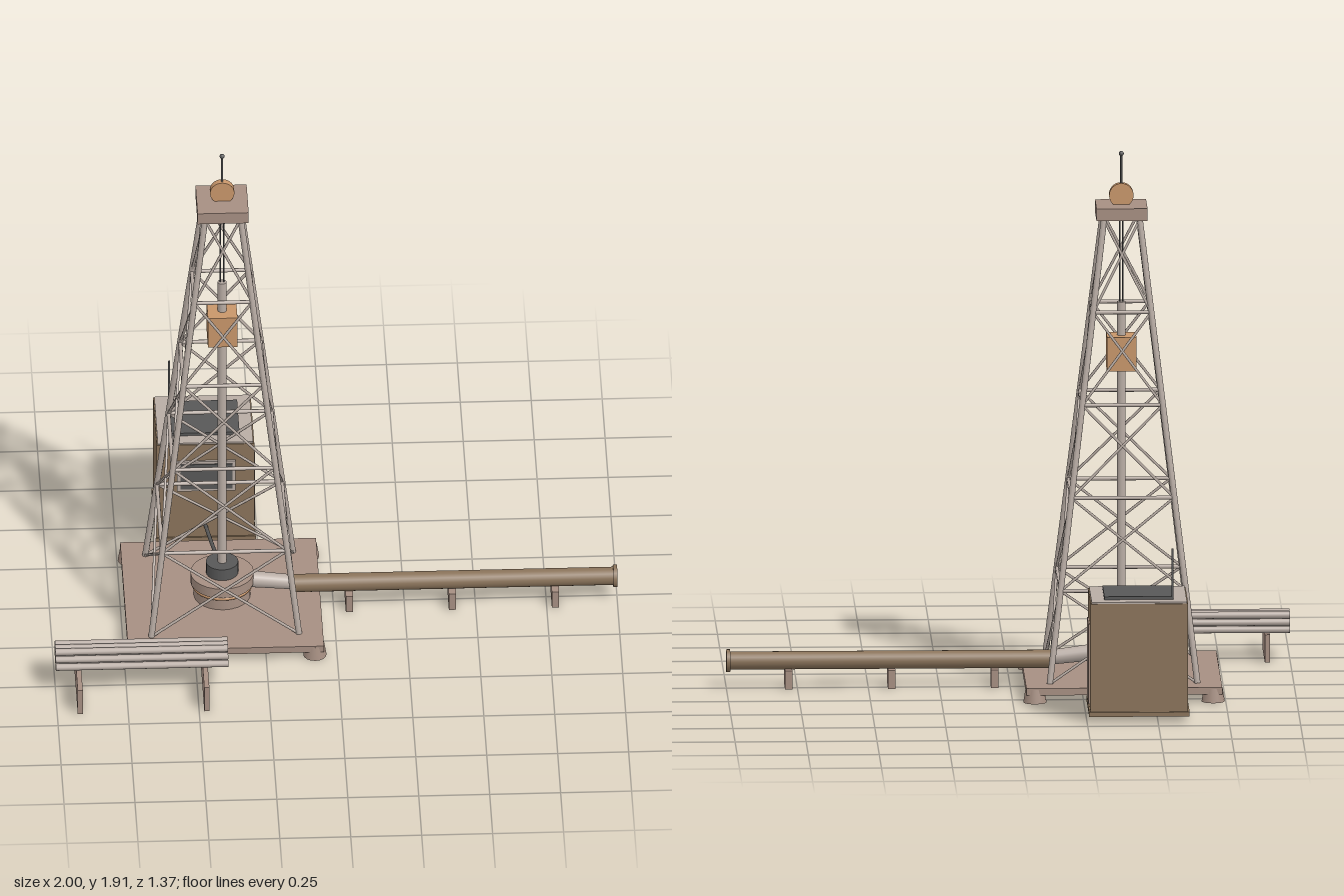
import * as THREE from 'three';

const mat = (name, color) => {
  const m = new THREE.MeshStandardMaterial({ color });
  m.name = name;
  return m;
};

export function createModel() {
  const root = new THREE.Group();
  root.name = 'drillingRig';
  const steel = mat('pale steel', 0xb8aca4);
  const deck = mat('dusty rose brown', 0xa68f82);
  const olive = mat('olive brown', 0x8a735a);
  const dark = mat('dark grey', 0x585858);
  const orange = mat('copper orange', 0xc8966a);

  const group = (name, parent = root) => {
    const g = new THREE.Group();
    g.name = name;
    parent.add(g);
    return g;
  };
  const add = (parent, name, geo, material, x = 0, y = 0, z = 0) => {
    const m = new THREE.Mesh(geo, material);
    m.name = name;
    m.position.set(x, y, z);
    parent.add(m);
    return m;
  };
  const box = (parent, name, material, w, h, d, x, y, z) =>
    add(parent, name, new THREE.BoxGeometry(w, h, d), material, x, y, z);
  // Upright cylinder given by its bottom and top heights
  const drum = (parent, name, material, rTop, rBottom, y0, y1, x = 0, z = 0, sides = 24) =>
    add(parent, name, new THREE.CylinderGeometry(rTop, rBottom, y1 - y0, sides), material, x, (y0 + y1) / 2, z);
  // Round bar between two points
  const up = new THREE.Vector3(0, 1, 0);
  const bar = (parent, name, material, a, b, r, sides = 8, rEnd = r) => {
    const p = new THREE.Vector3(...a), q = new THREE.Vector3(...b);
    const dir = q.clone().sub(p);
    const m = add(parent, name, new THREE.CylinderGeometry(rEnd, r, dir.length(), sides), material);
    m.position.copy(p).add(q).multiplyScalar(0.5);
    m.quaternion.setFromUnitVectors(up, dir.normalize());
    return m;
  };

  // Rig, centred on the borehole
  const rig = group('rig');
  rig.position.set(-0.392, 0, 0.02);

  // Platform and feet
  box(rig, 'platform', deck, 0.69, 0.025, 0.69, 0, 0.0425, 0);
  for (const sx of [-1, 1]) for (const sz of [-1, 1])
    drum(rig, 'foot', deck, 0.033, 0.041, 0, 0.05, sx * 0.314, sz * 0.314, 16);

  // Lattice tower: four legs, rings and crossed braces
  const tower = group('tower', rig);
  const y0 = 0.055, bay = 0.325, bays = 5;
  const corners = [[-1, -1], [1, -1], [1, 1], [-1, 1]];
  const node = (corner, level) => {
    const half = THREE.MathUtils.lerp(0.26, 0.063, level / bays);
    const [sx, sz] = corners[corner % 4];
    return [sx * half, y0 + bay * level, sz * half];
  };
  for (let c = 0; c < 4; c++) {
    bar(tower, 'towerLeg', steel, node(c, 0), node(c, bays), 0.011);
    for (let i = 0; i < bays; i++) {
      if (i > 0) bar(tower, 'ringBar', steel, node(c, i), node(c + 1, i), 0.007);
      bar(tower, 'brace', steel, node(c, i), node(c + 1, i + 1), 0.0052, 6);
      bar(tower, 'brace', steel, node(c + 1, i), node(c, i + 1), 0.0052, 6);
    }
  }

  // Crown block, pulley and mast
  box(rig, 'crownBlock', deck, 0.18, 0.044, 0.18, 0, 1.702, 0);
  bar(rig, 'crownPulley', orange, [0, 1.757, -0.0125], [0, 1.757, 0.0125], 0.043, 28);
  drum(rig, 'mast', dark, 0.004, 0.004, 1.72, 1.905, 0, 0, 8);
  add(rig, 'mastTip', new THREE.SphereGeometry(0.009, 12, 8), dark, 0, 1.905, 0);

  // Hoist and drill string
  for (const s of [-1, 1])
    drum(rig, 'hoistCable', dark, 0.003, 0.003, 1.25, 1.69, s * 0.006, 0, 6);
  box(rig, 'travellingBlock', orange, 0.104, 0.122, 0.104, 0, 1.194, 0);
  drum(rig, 'drillPipe', steel, 0.0155, 0.0155, 0.06, 1.375, 0, 0, 16);

  // Wellhead
  drum(rig, 'wellheadBase', deck, 0.1, 0.1, 0.055, 0.11);
  drum(rig, 'wellheadBody', deck, 0.112, 0.112, 0.112, 0.15);
  const band = add(rig, 'wellheadBand', new THREE.TorusGeometry(0.101, 0.008, 8, 32), orange, 0, 0.104, 0);
  band.rotation.x = Math.PI / 2;
  drum(rig, 'rotaryTable', dark, 0.057, 0.057, 0.15, 0.195);

  // Outlet and long pipeline
  bar(rig, 'outletPipe', steel, [0.09, 0.119, 0], [0.27, 0.098, 0], 0.03, 16, 0.026);
  bar(rig, 'pipeline', olive, [0.25, 0.095, 0], [1.39, 0.095, 0], 0.032, 24);
  bar(rig, 'pipelineFlange', olive, [1.378, 0.095, 0], [1.392, 0.095, 0], 0.04, 24);
  for (const x of [0.447, 0.81, 1.173])
    box(rig, 'pipelineSupport', deck, 0.026, 0.066, 0.1, x, 0.033, 0);

  // Rack with stacked spare pipes
  const rack = group('pipeRack');
  for (const x of [-0.919, -0.473])
    box(rack, 'rackBeam', deck, 0.018, 0.1, 0.265, x, 0.05, 0.547);
  for (let row = 0; row < 3; row++) {
    const count = 5 - row;
    for (let i = 0; i < count; i++) {
      const z = 0.497 + (i - (count - 1) / 2) * 0.0256, y = 0.113 + row * 0.0235;
      bar(rack, 'sparePipe', steel, [-1, y, z], [-0.392, y, z], 0.0125, 12);
    }
  }

  // Control cabin
  const cabin = group('cabin');
  cabin.position.set(-0.434, 0, -0.53);
  box(cabin, 'cabinWalls', olive, 0.344, 0.4, 0.306, 0, 0.225, 0);
  box(cabin, 'cabinSkirt', olive, 0.354, 0.016, 0.318, 0, 0.03, 0);
  box(cabin, 'cabinRoof', steel, 0.336, 0.008, 0.3, 0, 0.427, 0);
  box(cabin, 'roofPanel', dark, 0.244, 0.012, 0.206, 0, 0.436, 0);
  box(cabin, 'windowFrame', steel, 0.206, 0.124, 0.009, 0.003, 0.297, 0.157);
  box(cabin, 'windowGlass', dark, 0.184, 0.104, 0.006, 0.003, 0.297, 0.162);
  box(cabin, 'door', deck, 0.008, 0.286, 0.138, 0.173, 0.193, 0.006);
  drum(cabin, 'antenna', dark, 0.004, 0.004, 0.42, 0.613, -0.118, -0.1, 8);

  // Sagging hose from cabin to wellhead
  const hosePath = new THREE.CatmullRomCurve3([
    new THREE.Vector3(-0.434, 0.082, -0.38),
    new THREE.Vector3(-0.415, 0.09, -0.24),
    new THREE.Vector3(-0.394, 0.114, -0.08),
  ]);
  add(root, 'hose', new THREE.TubeGeometry(hosePath, 16, 0.007, 8), dark);

  return root;
}
